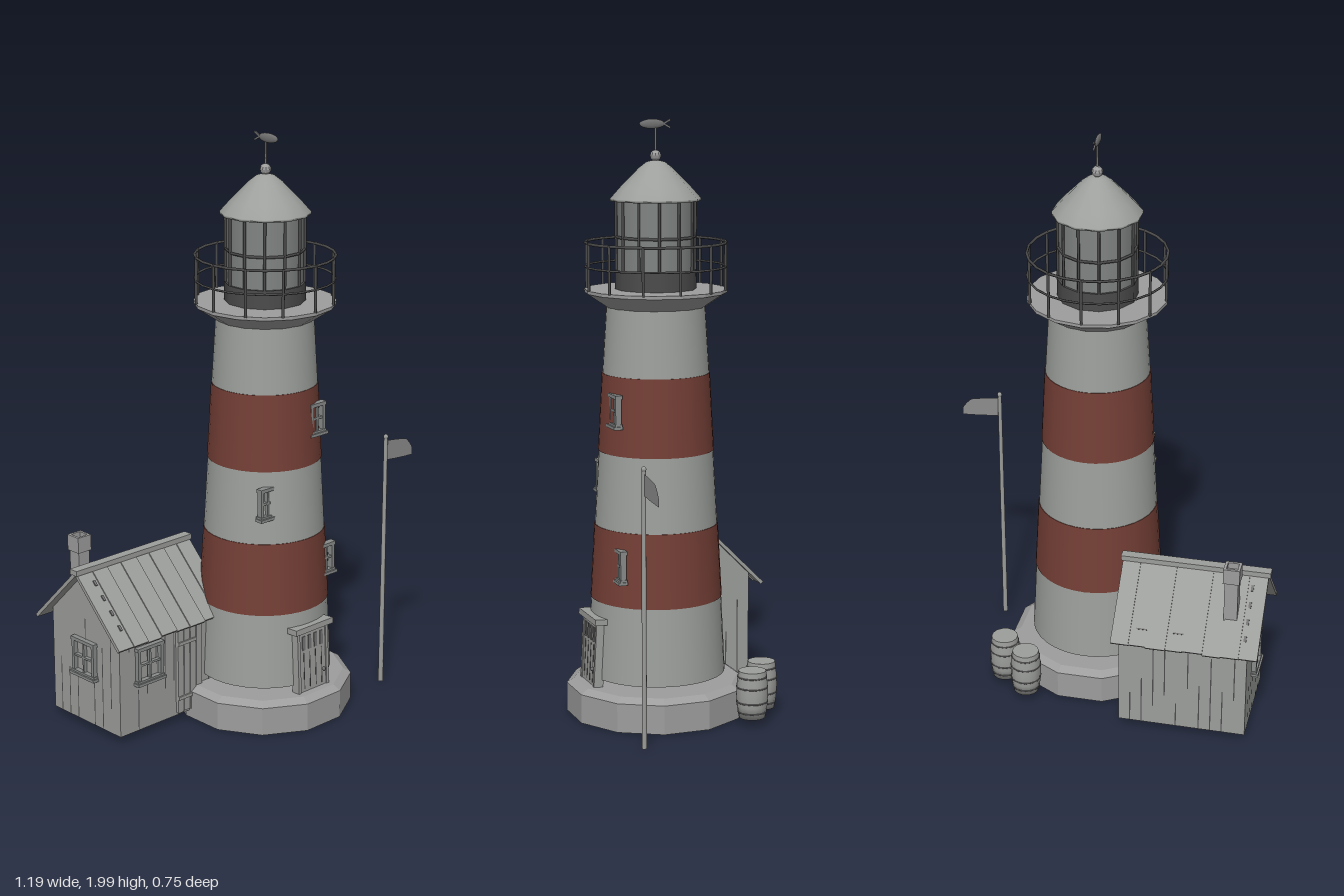
import * as THREE from 'three';

const mat = (name, color, extra = {}) => {
  const m = new THREE.MeshStandardMaterial({ color, ...extra });
  m.name = name;
  return m;
};

export function createModel() {
  const white = mat('whitewash', 0x9da09c);
  const red = mat('red paint', 0x743f36);
  const stone = mat('stone', 0x9c9d9c, { flatShading: true });
  const wood = mat('weathered wood', 0x9c9e9b, { side: THREE.DoubleSide });
  const trim = mat('window trim', 0x888b8a);
  const iron = mat('dark iron', 0x4c4c4c);
  const steel = mat('worn steel', 0x727372);
  const glass = mat('lantern glass', 0x818583);
  const cloth = mat('flag cloth', 0x8c8c8c, { side: THREE.DoubleSide });

  const model = new THREE.Group();
  const add = (parent, name, geo, m, x = 0, y = 0, z = 0) => {
    const mesh = new THREE.Mesh(geo, m);
    mesh.name = name;
    mesh.position.set(x, y, z);
    parent.add(mesh);
    return mesh;
  };
  const group = (parent, name, x = 0, y = 0, z = 0) => {
    const g = new THREE.Group();
    g.name = name;
    g.position.set(x, y, z);
    parent.add(g);
    return g;
  };
  const box = (p, name, w, h, d, m, x, y, z) => add(p, name, new THREE.BoxGeometry(w, h, d), m, x, y, z);
  const cyl = (p, name, rt, rb, y0, y1, n, m) =>
    add(p, name, new THREE.CylinderGeometry(rt, rb, y1 - y0, n), m, 0, (y0 + y1) / 2, 0);
  const lathe = (p, name, pts, n, m) =>
    add(p, name, new THREE.LatheGeometry(pts.map(q => new THREE.Vector2(...q)), n), m);
  const ring = (p, name, r, t, y, n, m) => {
    add(p, name, new THREE.TorusGeometry(r, t, 5, n), m, 0, y, 0).rotation.x = Math.PI / 2;
  };
  let seed = 7;
  const rand = () => (seed = (seed * 16807) % 2147483647) / 2147483647;

  // Window frame with cross bars and a sill, facing +z
  const windowFrame = (p, name, w, h, x, y, z, ry = 0, t = 0.012) => {
    const g = group(p, name, x, y, z);
    g.rotation.y = ry;
    for (const s of [-1, 1]) {
      box(g, 'jamb', t, h, 0.02, trim, s * (w - t) / 2, 0, 0);
      box(g, 'rail', w + 0.006, t, 0.024, trim, 0, s * (h - t) / 2, 0);
    }
    box(g, 'mullion', t * 0.6, h, 0.014, trim, 0, 0, 0);
    box(g, 'crossBar', w, t * 0.6, 0.014, trim, 0, 0, 0);
    box(g, 'sill', w + 0.014, 0.01, 0.03, trim, 0, -h / 2, 0.003);
  };

  // ---- Tower ----
  const tower = group(model, 'tower', 0.055, 0, 0.08);
  const foot = group(tower, 'foundation');
  foot.rotation.y = Math.PI / 12;
  cyl(foot, 'foundationBlock', 0.305, 0.305, 0, 0.098, 12, stone);
  cyl(foot, 'foundationBevel', 0.278, 0.305, 0.098, 0.115, 12, stone);

  const levels = [0.14, 0.4, 0.65, 0.9, 1.16, 1.385];
  const radii = [0.233, 0.22, 0.206, 0.192, 0.178, 0.164];
  for (let i = 0; i < 5; i++) {
    const e = i % 2 ? 0.002 : 0;
    cyl(tower, i % 2 ? 'redBand' : 'whiteBand', radii[i + 1] + e, radii[i] + e, levels[i], levels[i + 1], 36, i % 2 ? red : white);
  }
  const radiusAt = y => 0.233 - (y - 0.14) * 0.0554;

  // Tower windows by height and sideways offset, all facing the front
  for (const [y, x] of [[1.05, 0.075], [0.795, -0.133], [0.54, 0.126]]) {
    windowFrame(tower, 'towerWindow', 0.068, 0.108, x, y, Math.sqrt(radiusAt(y) ** 2 - x * x) + 0.003, 0);
  }

  // Tower door
  const door = group(tower, 'towerDoor', 0, 0.115, 0.232);
  door.rotation.x = -0.05;
  box(door, 'doorLeaf', 0.14, 0.215, 0.025, wood, 0, 0.108, 0);
  for (const s of [-1, 1]) box(door, 'doorJamb', 0.012, 0.22, 0.032, wood, s * 0.067, 0.11, 0);
  box(door, 'lintel', 0.176, 0.02, 0.045, wood, 0, 0.226, 0.004);
  for (let i = 0; i < 4; i++) {
    box(door, 'doorSlit', 0.014, 0.05, 0.004, steel, -0.042 + i * 0.028, 0.175, 0.013);
    box(door, 'boardGap', 0.003, 0.13, 0.003, iron, -0.042 + i * 0.028, 0.075, 0.012);
  }
  add(door, 'knob', new THREE.SphereGeometry(0.007, 8, 6), steel, 0.048, 0.058, 0.017);

  // ---- Gallery and railing ----
  const gallery = group(tower, 'gallery');
  cyl(gallery, 'galleryFlare', 0.236, 0.166, 1.38, 1.427, 16, stone);
  cyl(gallery, 'galleryDeck', 0.237, 0.237, 1.427, 1.438, 16, stone);
  ring(gallery, 'topRail', 0.233, 0.005, 1.592, 24, iron);
  ring(gallery, 'middleRail', 0.233, 0.004, 1.513, 24, iron);
  for (let i = 0; i < 12; i++) {
    const a = i * Math.PI / 6;
    add(gallery, 'railPost', new THREE.CylinderGeometry(0.005, 0.005, 0.16, 6), iron, Math.sin(a) * 0.233, 1.515, Math.cos(a) * 0.233);
  }

  // ---- Lantern room ----
  const lantern = group(tower, 'lantern');
  lantern.rotation.y = Math.PI / 12;
  cyl(lantern, 'lanternWall', 0.135, 0.135, 1.438, 1.5, 12, iron);
  cyl(lantern, 'lanternGlass', 0.127, 0.127, 1.5, 1.735, 12, glass);
  for (let i = 0; i < 12; i++) {
    const a = i * Math.PI / 6;
    add(lantern, 'glazingBar', new THREE.CylinderGeometry(0.005, 0.005, 0.235, 5), iron, Math.sin(a) * 0.131, 1.617, Math.cos(a) * 0.131);
  }
  ring(lantern, 'glazingRing', 0.13, 0.005, 1.61, 12, iron);
  lathe(lantern, 'lanternRoof', [[0, 1.728], [0.15, 1.728], [0.15, 1.736], [0.117, 1.773], [0.085, 1.805], [0.055, 1.836], [0.03, 1.855], [0, 1.862]], 12, white);

  // Finial and fish weathervane
  cyl(lantern, 'finialNeck', 0.009, 0.012, 1.855, 1.87, 8, stone);
  add(lantern, 'finialBall', new THREE.SphereGeometry(0.019, 10, 6), stone, 0, 1.875, 0);
  const vane = group(tower, 'weathervane', 0, 1.978, 0);
  add(vane, 'vaneRod', new THREE.CylinderGeometry(0.004, 0.004, 0.1, 6), steel, 0, -0.045, 0);
  add(vane, 'fishBody', new THREE.SphereGeometry(1, 12, 8), steel, 0, 0, 0.012).scale.set(0.007, 0.016, 0.045);
  for (const s of [-1, 1]) {
    box(vane, 'fishTail', 0.005, 0.006, 0.03, steel, 0, s * 0.006, -0.038).rotation.x = s * 0.5;
  }

  // ---- Shed, open underneath ----
  const shed = group(model, 'shed', -0.33, 0.025, -0.155);
  const hw = 0.22, hd = 0.172, eave = 0.377, peak = 0.545;
  const gable = new THREE.Shape([[-hd, 0], [hd, 0], [hd, eave], [0, peak], [-hd, eave]].map(p => new THREE.Vector2(...p)));
  // Four walls, each turned to face outwards, with thin gaps between the boards
  for (let k = 0; k < 4; k++) {
    const long = k % 2 === 0, half = long ? hw : hd, count = long ? 11 : 8;
    const wall = group(shed, long ? 'longWall' : 'gableWall');
    wall.rotation.y = k * Math.PI / 2;
    const out = long ? hd : hw;
    if (long) add(wall, 'wallFace', new THREE.PlaneGeometry(2 * hw, eave), wood, 0, eave / 2, out);
    else add(wall, 'wallFace', new THREE.ShapeGeometry(gable), wood, 0, 0, out);
    for (let i = 1; i < count; i++) {
      const h = 0.08 + rand() * 0.24, top = rand() > 0.5;
      add(wall, 'boardGap', new THREE.PlaneGeometry(0.004, h), iron, -half + i * 2 * half / count, top ? eave - h / 2 : h / 2, out + 0.002);
    }
  }
  windowFrame(shed, 'frontWindow', 0.112, 0.13, -0.095, 0.238, hd + 0.006);
  windowFrame(shed, 'sideWindow', 0.112, 0.13, -hw - 0.006, 0.238, 0, -Math.PI / 2);

  // Shed door with boards and hinges
  const shedDoor = group(shed, 'shedDoor', 0.085, 0.165, hd + 0.006);
  for (let i = 0; i < 4; i++) box(shedDoor, 'doorBoard', 0.025, 0.31 - (i % 2) * 0.006, 0.012, wood, -0.042 + i * 0.028, 0, 0);
  for (const y of [-0.1, 0.1]) box(shedDoor, 'doorHinge', 0.08, 0.012, 0.008, wood, -0.014, y, 0.007);

  // Roof boards, slightly uneven, mirrored over the ridge
  const edges = [-0.26, -0.197, -0.134, -0.074, -0.005, 0.052, 0.12, 0.178, 0.24];
  for (const s of [-1, 1]) {
    const slope = group(shed, 'roofSlope', 0, 0.548, 0);
    slope.rotation.set(Math.PI / 4, s > 0 ? 0 : Math.PI, 0, 'YXZ');
    for (let i = 0; i < 8; i++) {
      const len = (s > 0 ? 0.304 : 0.299) + (i % 3) * 0.002;
      box(slope, 'roofBoard', edges[i + 1] - edges[i], 0.012, len, wood, s * (edges[i] + edges[i + 1]) / 2, (i % 2) * 0.004, len / 2);
    }
    for (let i = 0; i < 4; i++) box(slope, 'nail', 0.009, 0.006, 0.02, steel, s * -0.211, 0.007, 0.055 + i * 0.058);
    if (s < 0) for (const x of [0.015, 0.14]) box(slope, 'roofCrack', 0.036, 0.003, 0.004, steel, -x, 0.0085, 0.24);
  }
  box(shed, 'ridgeCap', 0.515, 0.018, 0.035, wood, -0.01, 0.554, 0);

  // Chimney with an open top
  const chimney = group(shed, 'chimney', -0.152, 0, -0.105);
  box(chimney, 'chimneyStack', 0.046, 0.2, 0.046, stone, 0, 0.51, 0);
  for (const s of [-1, 1]) {
    box(chimney, 'chimneyRim', 0.056, 0.055, 0.009, stone, 0, 0.604, s * 0.0235);
    box(chimney, 'chimneyRim', 0.009, 0.055, 0.056, stone, s * 0.0235, 0.604, 0);
  }

  // ---- Barrels ----
  for (const [x, z] of [[0.245, -0.228], [0.34, -0.155]]) {
    const barrel = group(model, 'barrel', x, 0.025, z);
    lathe(barrel, 'staves', [[0, 0], [0.044, 0], [0.051, 0.04], [0.053, 0.08], [0.051, 0.12], [0.046, 0.16]], 14, wood);
    cyl(barrel, 'lid', 0.046, 0.046, 0.154, 0.16, 14, wood);
    for (const [y, r] of [[0.02, 0.0475], [0.055, 0.052], [0.105, 0.052], [0.14, 0.0485]]) ring(barrel, 'hoop', r, 0.0025, y, 14, steel);
  }

  // ---- Flagpole ----
  const pole = group(model, 'flagpole', 0.457, 0, 0.268);
  cyl(pole, 'pole', 0.007, 0.009, 0, 0.915, 8, wood);
  add(pole, 'poleTip', new THREE.SphereGeometry(0.009, 8, 6), wood, 0, 0.915, 0);
  const flag = new THREE.Shape();
  flag.moveTo(0.005, 0.9);
  flag.quadraticCurveTo(0.06, 0.895, 0.105, 0.885);
  flag.quadraticCurveTo(0.128, 0.865, 0.138, 0.845);
  flag.lineTo(0.138, 0.82);
  flag.quadraticCurveTo(0.07, 0.822, 0.005, 0.83);
  add(pole, 'flag', new THREE.ShapeGeometry(flag), cloth);

  return model;
}
